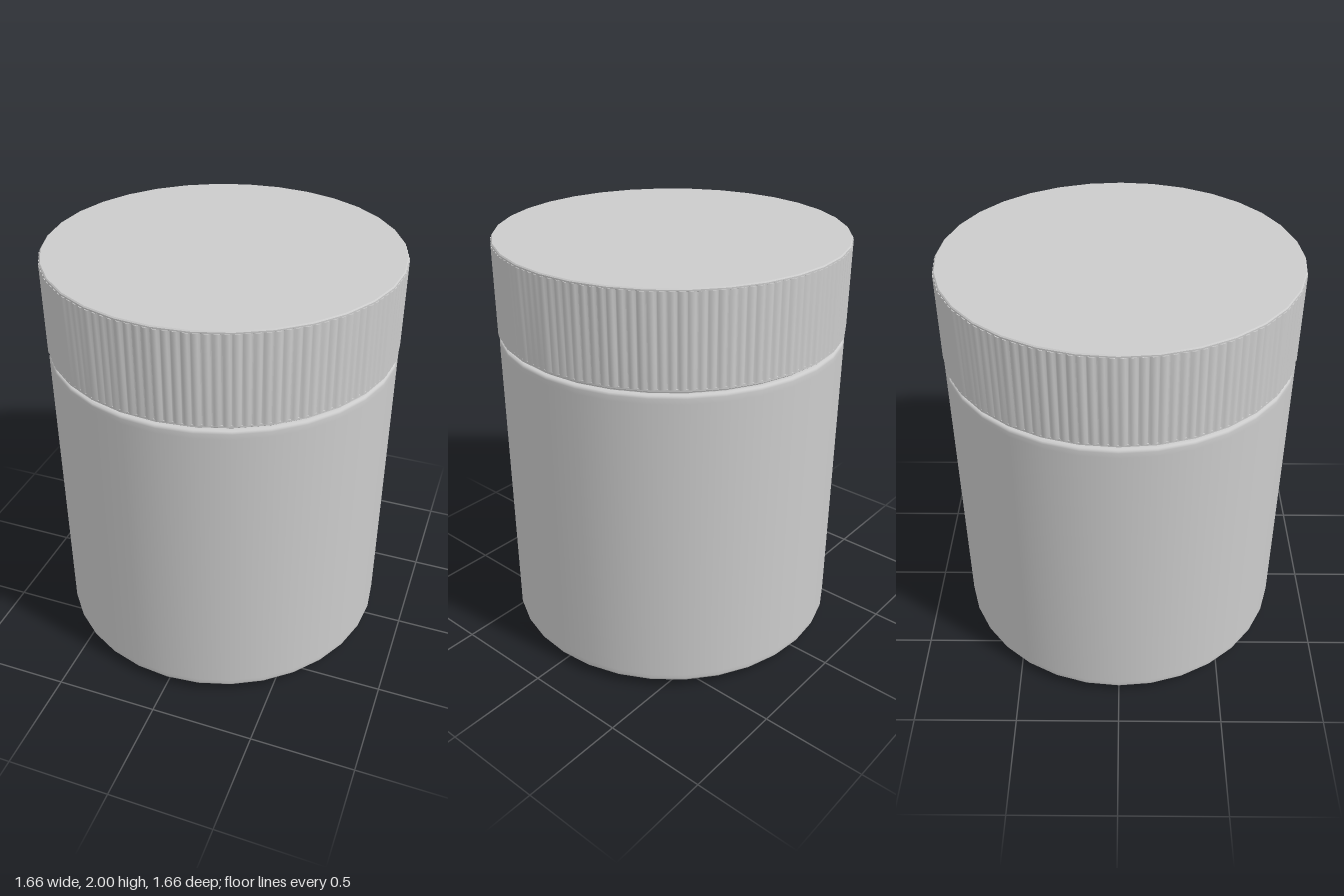
import * as THREE from 'three';
import { toCreasedNormals } from 'three/addons/utils/BufferGeometryUtils.js';

const SIDES = 32;
const RIBS_PER_SIDE = 4;
const R = 0.825;

const material = new THREE.MeshStandardMaterial({ color: 0xcccccc });

function addMesh(parent, name, geometry) {
  const mesh = new THREE.Mesh(geometry, material);
  mesh.name = name;
  parent.add(mesh);
  return mesh;
}

// Revolved part from [radius, height] pairs, listed from bottom to top
function turned(profile) {
  const points = profile.map(([r, y]) => new THREE.Vector2(r, y));
  return toCreasedNormals(new THREE.LatheGeometry(points, SIDES), 0.5);
}

// Quarter-round between two angles, as [radius, height] pairs
function fillet(cr, cy, radius, from, to, steps = 4) {
  return Array.from({ length: steps + 1 }, (_, i) => {
    const a = from + ((to - from) * i) / steps;
    return [cr + radius * Math.cos(a), cy + radius * Math.sin(a)];
  });
}

// Lid grip: small ribs set along the sides of the polygonal lid
function ribbedBand(radius, depth, y0, y1) {
  const outline = [];
  const corner = (i) => new THREE.Vector2(
    Math.cos((i / SIDES) * Math.PI * 2), Math.sin((i / SIDES) * Math.PI * 2));
  const profile = [[0, 0], [0.25, 1], [0.65, 1], [0.9, 0]];
  for (let i = 0; i < SIDES; i++) {
    const a = corner(i), b = corner(i + 1);
    for (let k = 0; k < RIBS_PER_SIDE; k++) {
      for (const [t, out] of profile) {
        const p = a.clone().lerp(b, (k + t) / RIBS_PER_SIDE);
        outline.push(p.multiplyScalar(radius + out * depth));
      }
    }
  }
  const geometry = new THREE.ExtrudeGeometry(new THREE.Shape(outline), {
    depth: y1 - y0, bevelEnabled: false, steps: 1,
  });
  geometry.rotateX(-Math.PI / 2);
  geometry.translate(0, y0, 0);
  return toCreasedNormals(geometry, 0.9);
}

export function createModel() {
  const model = new THREE.Group();
  model.name = 'jar';

  // Body with a stepped foot, rounded edges and a short neck under the lid
  addMesh(model, 'body', turned([
    [0, 0], [0.735, 0],
    ...fillet(0.735, 0.012, 0.012, -Math.PI / 2, 0, 3).slice(1),
    [0.755, 0.036], [0.765, 0.04], [0.81, 0.04],
    ...fillet(0.81, 0.055, 0.015, -Math.PI / 2, 0).slice(1),
    [R, 0.075], [R, 1.505],
    [R, 1.53],
    ...fillet(0.81, 1.53, 0.015, 0, Math.PI / 2).slice(1),
    [0.8, 1.545], [0.8, 1.575], [0, 1.575],
  ]));

  // Screw lid: smooth core with thin rims, wrapped by the ribbed grip
  const lid = new THREE.Group();
  lid.name = 'lid';
  model.add(lid);
  addMesh(lid, 'lidCore', turned([
    [0, 1.556], [0.816, 1.556], [0.824, 1.562], [0.824, 1.572],
    [0.82, 1.575], [0.82, 1.985],
    [0.825, 1.988], [0.825, 1.995], [0.82, 2], [0, 2],
  ]));
  addMesh(lid, 'lidGrip', ribbedBand(0.822, 0.007, 1.57, 1.988));

  return model;
}
